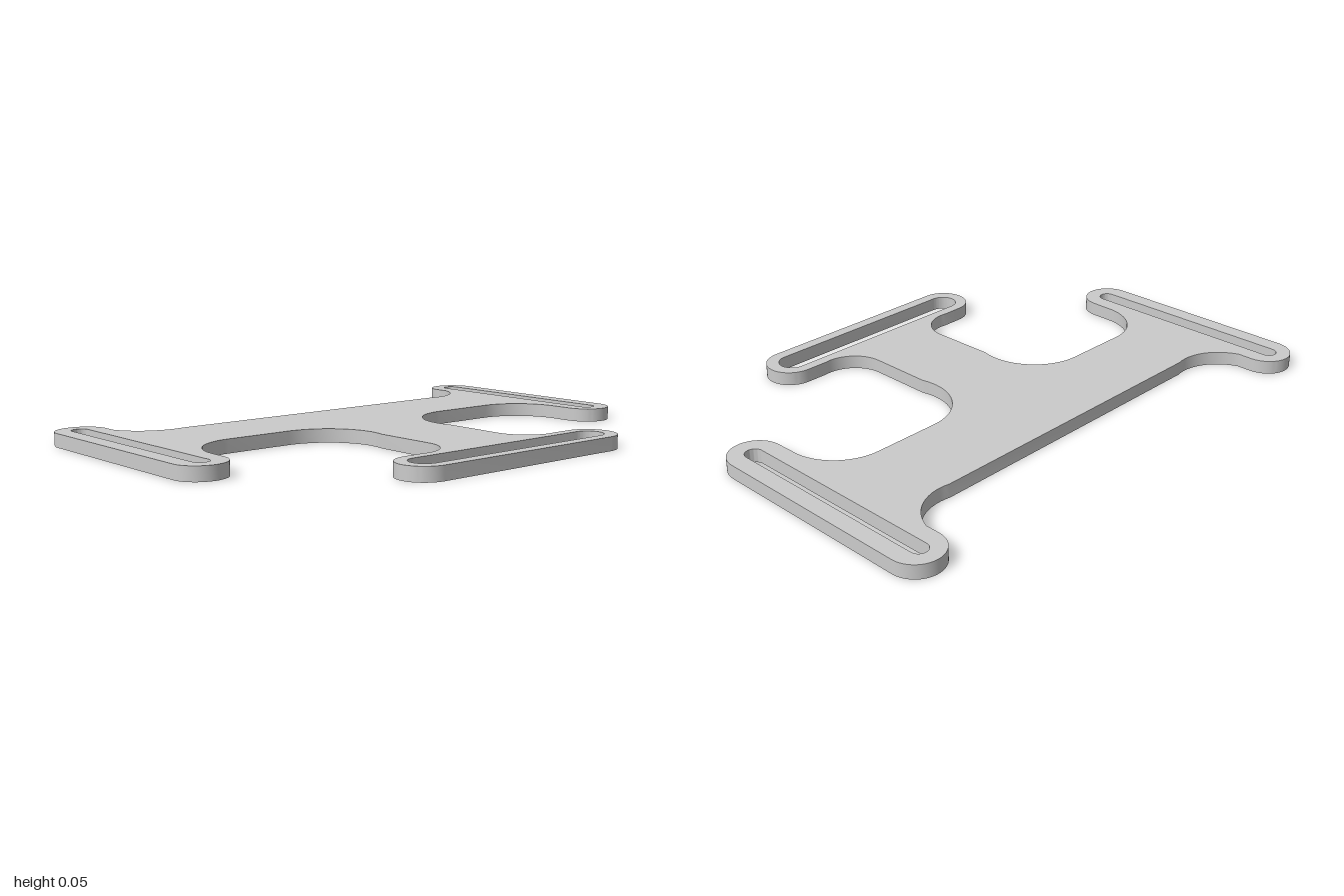
import * as THREE from 'three';
import { toCreasedNormals } from 'three/addons/utils/BufferGeometryUtils.js';

const THICKNESS = 0.05;

// Points along an arc in the (x, z) plane, angles in degrees
function arc(cx, cz, r, from, to) {
  const n = Math.max(8, Math.ceil(Math.abs(to - from) / 6));
  return Array.from({ length: n + 1 }, (_, i) => {
    const a = THREE.MathUtils.degToRad(from + ((to - from) * i) / n);
    return new THREE.Vector2(cx + r * Math.cos(a), cz + r * Math.sin(a));
  });
}

// Round-ended slot: along z for the sides, along x for the front
const sideSlot = (x) => new THREE.Path([
  ...arc(x, -0.619, 0.031, 180, 360),
  ...arc(x, 0.154, 0.031, 0, 180),
]);
const frontSlot = () => new THREE.Path([
  ...arc(0.388, 0.604, 0.053, -90, 90),
  ...arc(-0.388, 0.604, 0.053, 90, 270),
]);

export function createModel() {
  const group = new THREE.Group();
  group.name = 'strapConnector';

  // Left half of the outline, from the back edge round to the front edge
  const half = [
    ...arc(0.64, -0.612, 0.182, 102.7, 18.9), // back fillet
    ...arc(0.906, -0.606, 0.094, 180, 360), // side loop, back end
    ...arc(0.906, 0.146, 0.094, 0, 180), // side loop, front end
    ...arc(0.617, 0.071, 0.194, -6, -90), // fillet under the arm
    ...arc(0.365, 0.087, 0.21, 270, 164), // fillet into the neck
    ...arc(0.29, 0.385, 0.128, 180, 80), // fillet from neck to front loop
    ...arc(0.393, 0.606, 0.094, -90, 90), // front loop end
  ];
  const mirrored = half.map((p) => new THREE.Vector2(-p.x, p.y)).reverse();
  const outline = new THREE.Shape([...half, ...mirrored]);
  outline.holes.push(sideSlot(0.906), sideSlot(-0.906), frontSlot());

  // Lay the extruded plate flat on the ground
  const geometry = new THREE.ExtrudeGeometry(outline, { depth: THICKNESS, bevelEnabled: false });
  geometry.rotateX(Math.PI / 2).translate(0, THICKNESS, 0);

  const plate = new THREE.Mesh(
    toCreasedNormals(geometry, Math.PI / 6),
    new THREE.MeshStandardMaterial({ color: 0xcccccc }),
  );
  plate.name = 'slottedPlate';
  group.add(plate);
  return group;
}
